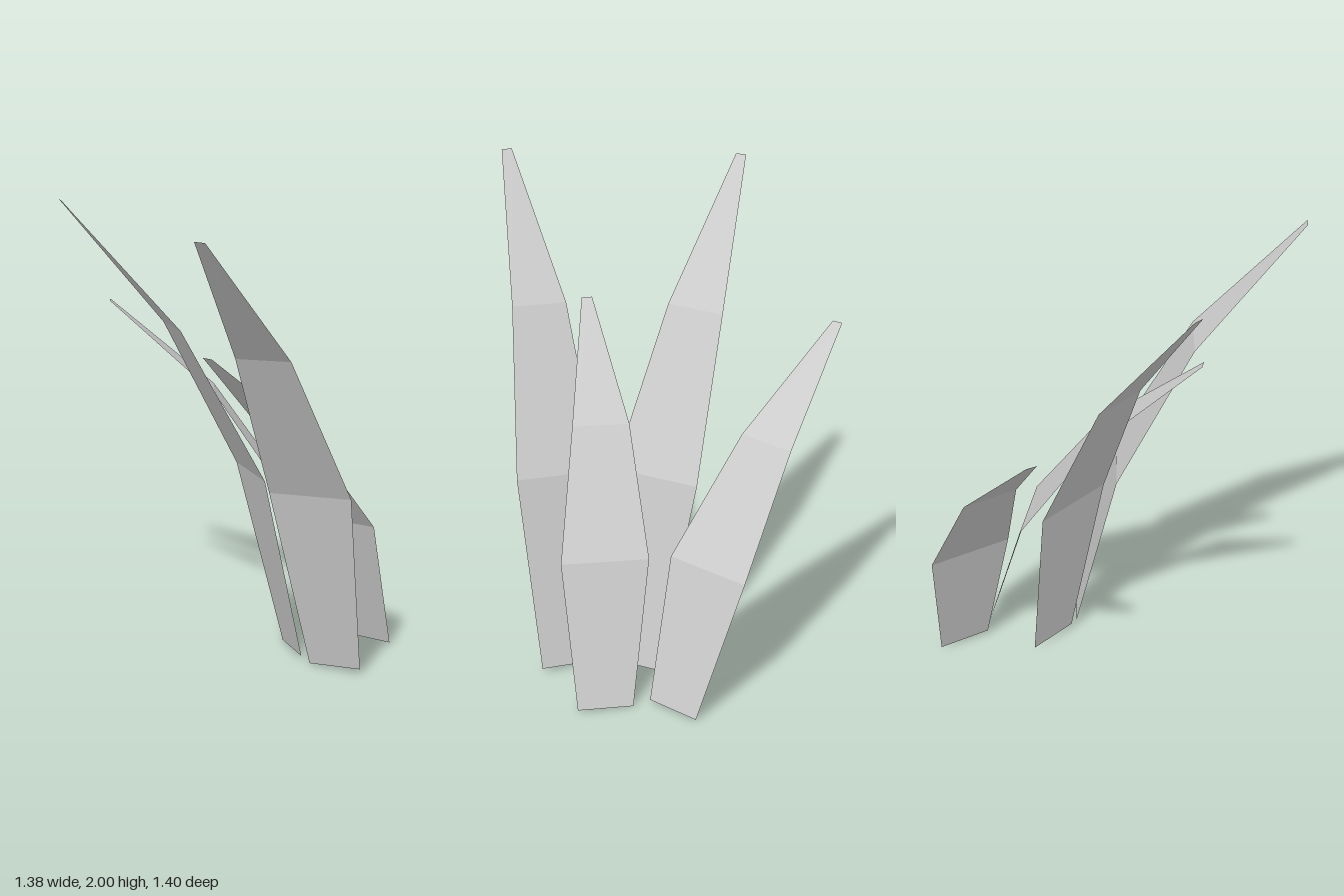
import * as THREE from 'three';

// Cross-sections of one leaf blade, base to tip: sideways drift, height, forward reach, half width
const ROWS = [
  [0, 0.017, 0, 0.116],
  [-0.043, 0.817, 0.177, 0.183],
  [-0.1, 1.456, 0.5, 0.12],
  [-0.14, 2.0, 0.95, 0.0225],
];
const ROLL = 0.07; // the left edge sits slightly higher than the right edge

function bladeGeometry() {
  const positions = [];
  const index = [];
  ROWS.forEach(([side, height, reach, half], i) => {
    const lift = i < 3 ? half * ROLL : 0;
    positions.push(side - half, height - lift, reach, side + half, height + lift, reach);
    if (i < ROWS.length - 1) {
      const a = i * 2;
      index.push(a, a + 2, a + 1, a + 1, a + 2, a + 3);
    }
  });
  const indexed = new THREE.BufferGeometry();
  indexed.setAttribute('position', new THREE.Float32BufferAttribute(positions, 3));
  indexed.setIndex(index);
  const geometry = indexed.toNonIndexed();
  geometry.computeVertexNormals();
  return geometry;
}

export function createModel() {
  const group = new THREE.Group();
  group.name = 'grassTuft';
  const material = new THREE.MeshStandardMaterial({
    color: 0xcccccc,
    flatShading: true,
    side: THREE.DoubleSide,
  });
  const geometry = bladeGeometry();

  // Each blade: name, base x, y, z, turn about the vertical, height scale
  const blades = [
    ['tallBladeRight', 0.192, 0, -0.258, -0.42, 1],
    ['tallBladeLeft', 0.46, 0, -0.249, 0.36, 1],
    ['shortBladeBack', 0.314, -0.004, -0.597, 0.175, 0.7235],
    ['shortBladeRight', 0.041, -0.004, -0.626, -0.7, 0.7235],
  ];
  for (const [name, x, y, z, turn, scale] of blades) {
    const blade = new THREE.Mesh(geometry, material);
    blade.name = name;
    blade.position.set(x, y, z);
    blade.rotation.y = turn;
    blade.scale.y = scale;
    group.add(blade);
  }
  return group;
}
